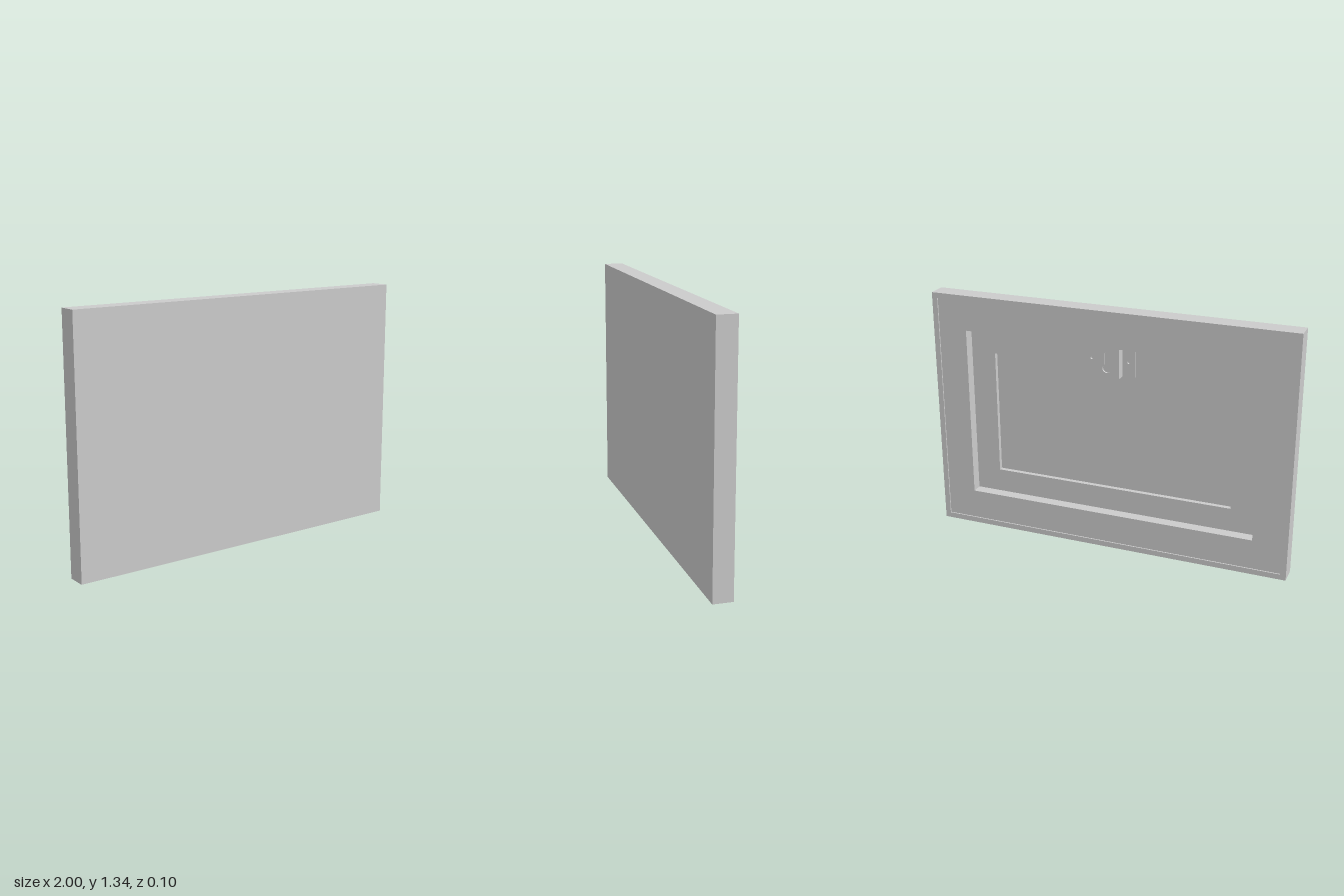
import * as THREE from 'three';

const W = 2, H = 1.34, D = 0.105, BACK = -D / 2;

export function createModel() {
  const group = new THREE.Group();
  const material = new THREE.MeshStandardMaterial({ color: 0xcccccc });

  const add = (name, geometry, x, y, z, parent = group) => {
    const mesh = new THREE.Mesh(geometry, material);
    mesh.name = name;
    mesh.position.set(x, y, z);
    parent.add(mesh);
    return mesh;
  };

  // Rectangle outline centred on the origin
  const rect = (w, h, Type = THREE.Shape) => new Type([
    new THREE.Vector2(-w / 2, -h / 2), new THREE.Vector2(w / 2, -h / 2),
    new THREE.Vector2(w / 2, h / 2), new THREE.Vector2(-w / 2, h / 2),
  ]);

  const extrude = (shape, depth) =>
    new THREE.ExtrudeGeometry(shape, { depth, bevelEnabled: false, curveSegments: 12 });

  // Rectangular ring whose back lies a given distance inside the back plane
  const ring = (name, w, h, holeW, holeH, from, to) => {
    const shape = rect(w, h);
    shape.holes.push(rect(holeW, holeH, THREE.Path));
    add(name, extrude(shape, to - from), 0, H / 2, BACK + from);
  };

  // Stepped panel: outer rim, backing frame, inner mount and front sheet
  const steps = { frame: 0.007, mount: 0.067, sheet: 0.092 };
  ring('outerRim', W, H, 1.94, 1.28, 0, steps.sheet);
  ring('backingFrame', 1.94, 1.28, 1.62, 0.95, steps.frame, steps.mount);
  ring('innerMount', 1.94, 1.28, 1.345, 0.69, steps.mount, steps.sheet);
  add('frontSheet', new THREE.BoxGeometry(W, H, D - steps.sheet), 0, H / 2, BACK + (steps.sheet + D) / 2);

  // Hanging bracket: raised plate with keyhole, two side walls, two screw flanges
  const bracket = new THREE.Group();
  bracket.name = 'hangingBracket';
  bracket.position.set(0, 1.065, BACK);
  group.add(bracket);

  const height = 0.16, plateW = 0.136, flangeW = 0.068, sheet = 0.01;
  const plate = rect(plateW, height);
  const keyhole = new THREE.Path();
  const r = 0.024, s = 0.012, cy = -0.03, a = Math.acos(s / r);
  keyhole.absarc(0, cy, r, Math.PI - a, 2 * Math.PI + a, false);
  keyhole.absarc(0, 0.048, s, 0, Math.PI, false);
  keyhole.closePath();
  plate.holes.push(keyhole);
  add('keyholePlate', extrude(plate, sheet), 0, 0, steps.frame, bracket);

  for (const side of [1, -1]) {
    const name = side > 0 ? 'left' : 'right';
    const wallDepth = steps.mount - steps.frame - sheet;
    add(name + 'BracketWall', new THREE.BoxGeometry(sheet, height, wallDepth),
      side * (plateW - sheet) / 2, 0, steps.mount - wallDepth / 2, bracket);

    const flange = rect(flangeW, height);
    const screwHole = new THREE.Path();
    screwHole.absarc(0, 0, 0.008, 0, Math.PI * 2, true);
    flange.holes.push(screwHole);
    add(name + 'BracketFlange', extrude(flange, sheet),
      side * (plateW + flangeW) / 2, 0, steps.mount - sheet, bracket);
  }

  return group;
}
